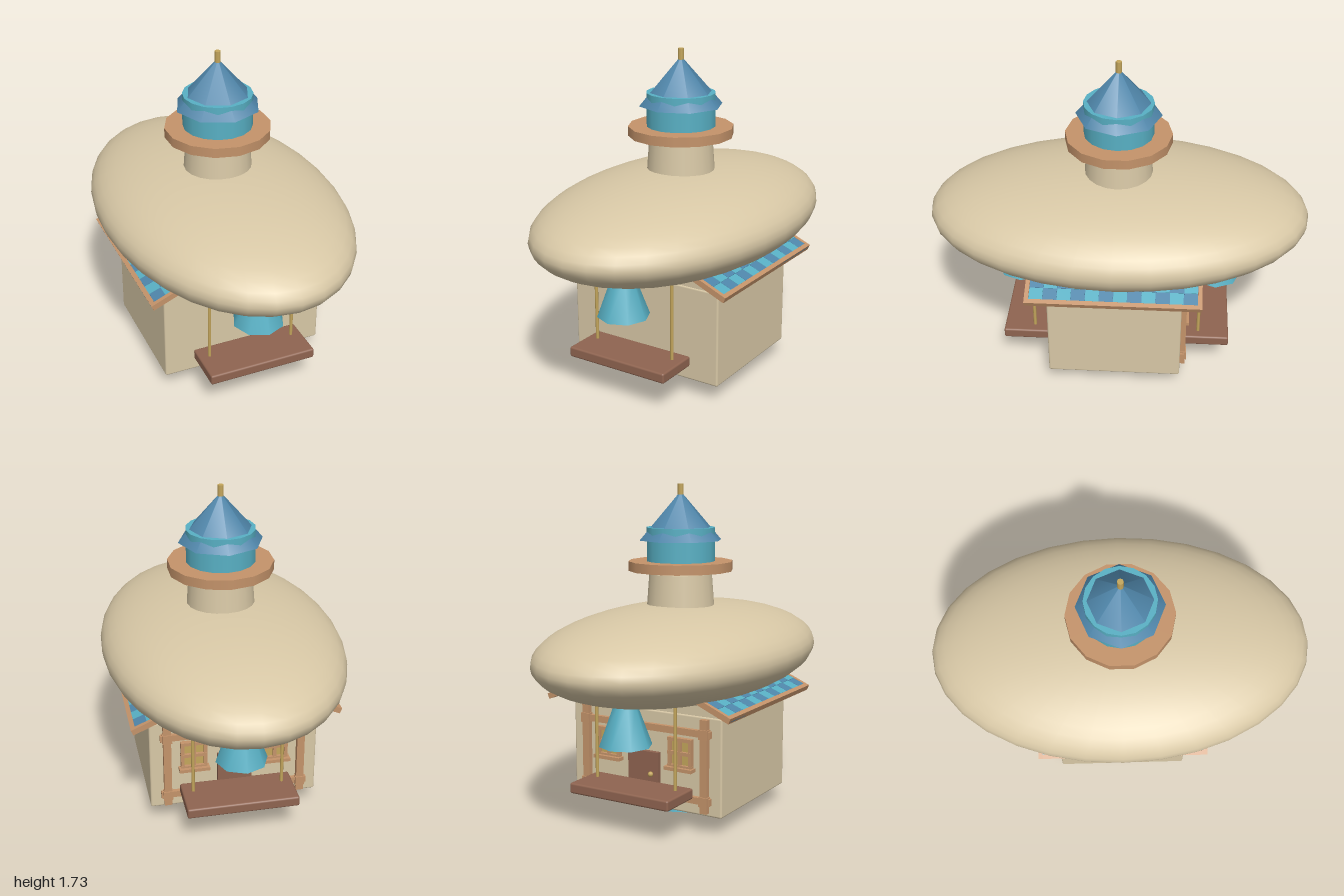
import * as THREE from 'three';
import { RoundedBoxGeometry } from 'three/addons/geometries/RoundedBoxGeometry.js';

const mat = (name, color, side = THREE.FrontSide) => {
  const m = new THREE.MeshStandardMaterial({ color, side });
  m.name = name;
  return m;
};

export function createModel() {
  const model = new THREE.Group();
  model.name = 'airshipHouse';
  const beige = mat('beige canvas', 0xd8c8a6);
  const wood = mat('light wood', 0xc4936a);
  const brown = mat('brown wood', 0x8f6450);
  const teal = mat('teal', 0x58b0c4);
  const blue = mat('blue', 0x4f86aa);
  const gold = mat('gold', 0xc4a65c);

  const add = (name, geo, material, x = 0, y = 0, z = 0, parent = model) => {
    const m = new THREE.Mesh(geo, material);
    m.name = name;
    m.position.set(x, y, z);
    parent.add(m);
    return m;
  };
  const box = (name, w, h, d, material, x, y, z, parent) =>
    add(name, new THREE.BoxGeometry(w, h, d), material, x, y, z, parent);
  // Round part given by its bottom and top heights
  const round = (name, rTop, rBottom, y0, y1, sides, material, x = 0, z = 0, parent = model) =>
    add(name, new THREE.CylinderGeometry(rTop, rBottom, y1 - y0, sides), material, x, (y0 + y1) / 2, z, parent);

  // Balloon
  const balloon = add('balloon', new THREE.SphereGeometry(1, 32, 24), beige, 0, 0.855, 0);
  balloon.scale.set(0.63, 0.25, 1);

  // Lookout tower
  round('towerNeck', 0.165, 0.18, 1.06, 1.26, 20, beige);
  round('lookoutDeck', 0.275, 0.275, 1.275, 1.325, 14, wood);
  round('lookoutCabin', 0.18, 0.18, 1.325, 1.5, 16, teal);
  round('towerRoof', 0.005, 0.22, 1.433, 1.68, 8, blue);
  round('spire', 0.016, 0.016, 1.65, 1.725, 8, gold);

  // House body and gable
  add('houseBody', new RoundedBoxGeometry(0.89, 0.51, 0.7, 2, 0.01), beige, 0, 0.345, 0);
  const gable = new THREE.Shape([[-0.44, 0.59], [0.44, 0.59], [0.44, 0.645], [0, 0.835], [-0.44, 0.645]]
    .map(([x, y]) => new THREE.Vector2(x, y)));
  add('gable', new THREE.ExtrudeGeometry(gable, { depth: 0.69, bevelEnabled: false }), beige, 0, 0, -0.345);

  // Two roof slopes; local -x runs from the eave up to the ridge
  const slope = 0.405, run = 0.585;
  for (const turn of [0, Math.PI]) {
    const pivot = new THREE.Group();
    pivot.name = 'roofSide';
    pivot.rotation.y = turn;
    model.add(pivot);
    const roof = new THREE.Group();
    roof.name = 'roofSlope';
    roof.position.set(0.54, 0.622, 0);
    roof.rotation.z = -slope;
    pivot.add(roof);
    box('roofPanel', run, 0.014, 0.87, blue, -run / 2, 0, 0, roof);
    box('eaveBoard', 0.024, 0.03, 0.9, wood, -0.012, 0, 0, roof);
    for (const s of [-1, 1]) box('bargeBoard', run, 0.03, 0.022, wood, -run / 2, 0, s * 0.44, roof);
    // Checkered tiles
    const cols = 12, w = 0.858 / cols, d = 0.065;
    for (let r = 0; r < 4; r++) for (let c = 0; c < cols; c++) {
      const tile = box('roofTile', d, 0.007, w * 0.97, (r + c) % 2 ? teal : blue,
        -0.024 - d * (r + 0.5), 0.0105, (c + 0.5) * w - 0.429, roof);
      tile.rotation.z = 0.03;
    }
  }

  // Thruster bells
  round('lowerThruster', 0.1, 0.165, 0, 0.28, 8, teal);
  for (const s of [-1, 1]) round('hangingThruster', 0.058, 0.135, 0.45, 0.66, 8, teal, 0, s * 0.53);

  // Hanging platforms with rods, front and rear
  for (const s of [-1, 1]) {
    add('platform', new RoundedBoxGeometry(0.585, 0.055, 0.245, 2, 0.01), brown, 0, 0.203, s * 0.487);
    for (const x of [-0.235, 0.235]) round('platformRod', 0.009, 0.009, 0.22, 0.685, 8, gold, x, s * 0.445);
  }

  // Rear facade: timber frame, windows and door
  const facade = new THREE.Group();
  facade.name = 'rearFacade';
  facade.position.z = -0.35;
  facade.rotation.y = Math.PI;
  model.add(facade);
  for (const y of [0.17, 0.515]) box('frameBeam', 0.78, 0.035, 0.022, wood, 0, y, 0.011, facade);
  for (const s of [-1, 1]) {
    box('framePost', 0.04, 0.48, 0.028, wood, s * 0.355, 0.35, 0.014, facade);
    for (const y of [0.17, 0.515]) box('frameJoint', 0.05, 0.05, 0.034, wood, s * 0.355, y, 0.017, facade);
    const win = new THREE.Group();
    win.name = 'window';
    win.position.set(s * 0.215, 0.4, 0);
    facade.add(win);
    box('windowPane', 0.12, 0.14, 0.008, gold, 0, 0, 0.006, win);
    for (const t of [-1, 0, 1]) {
      box('windowUpright', 0.018, 0.15, 0.024, wood, t * 0.06, 0, 0.012, win);
      box('windowRail', 0.14, 0.018, 0.026, wood, 0, t * 0.07, 0.013, win);
    }
    box('windowSill', 0.16, 0.018, 0.045, wood, 0, -0.08, 0.022, win);
  }
  box('door', 0.18, 0.26, 0.025, brown, 0, 0.255, 0.0125, facade);
  add('doorKnob', new THREE.SphereGeometry(0.014, 10, 8), gold, 0.05, 0.27, 0.032, facade);

  return model;
}
